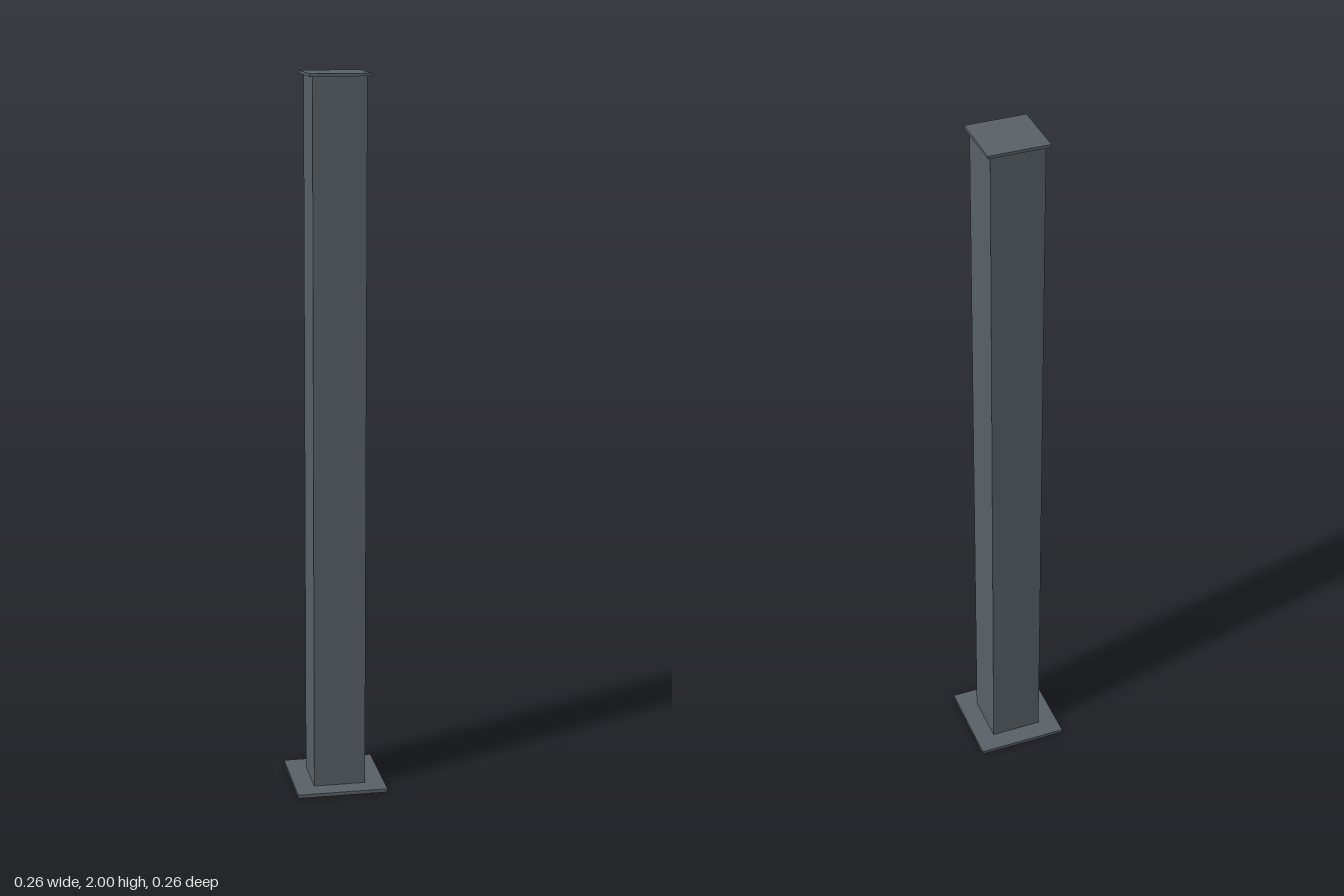
import * as THREE from 'three';

export function createModel() {
  const group = new THREE.Group();
  const material = new THREE.MeshStandardMaterial({ color: 0x596268 });

  // Square block spanning from y0 to y1
  function block(name, width, y0, y1) {
    const mesh = new THREE.Mesh(new THREE.BoxGeometry(width, y1 - y0, width), material);
    mesh.name = name;
    mesh.position.y = (y0 + y1) / 2;
    group.add(mesh);
  }

  block('basePlate', 0.256, 0, 0.01);
  block('post', 0.146, 0.01, 1.992);
  block('capPlate', 0.166, 1.992, 2);

  return group;
}
